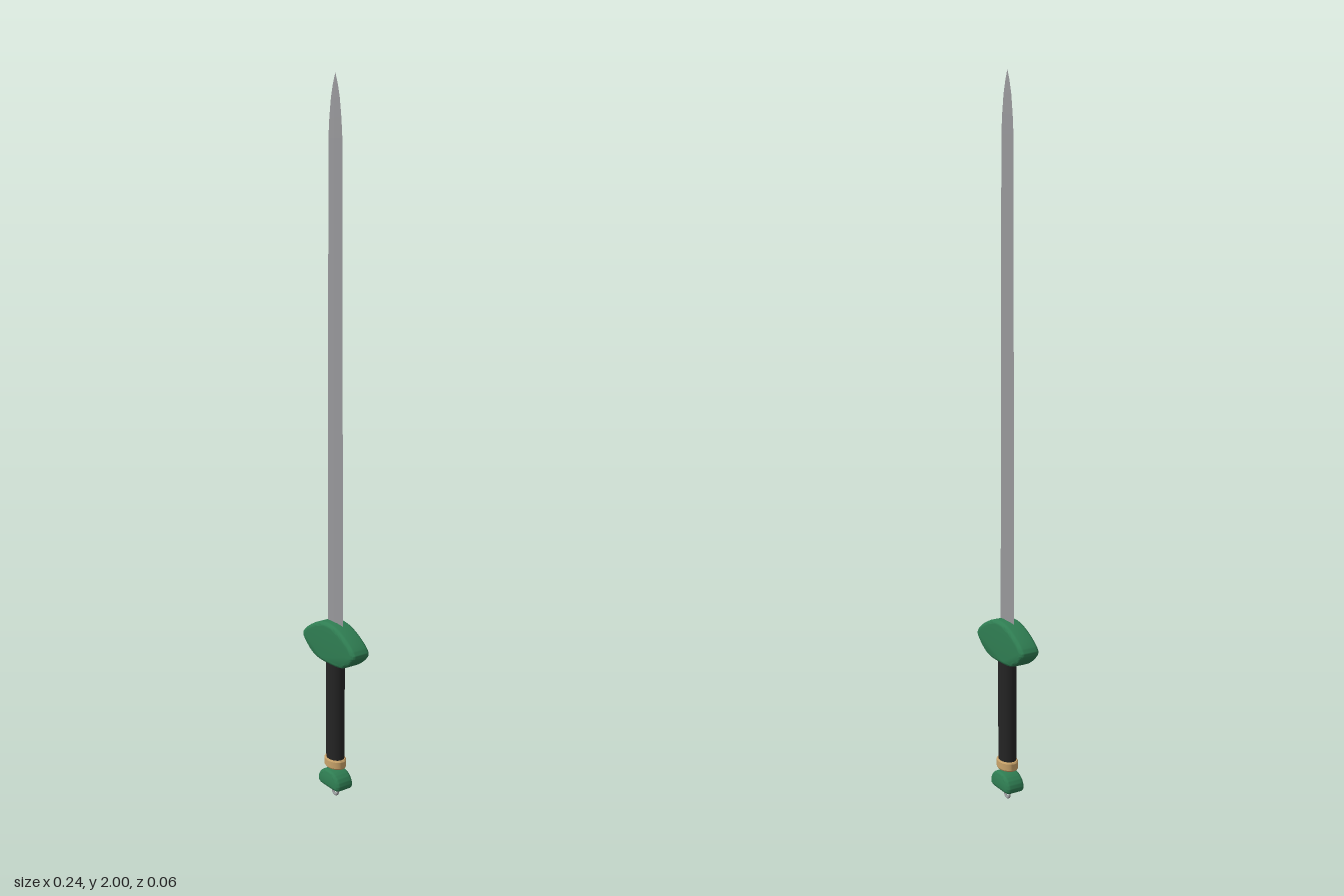
import * as THREE from 'three';
import { toCreasedNormals } from 'three/addons/utils/BufferGeometryUtils.js';

const material = (name, color, extra = {}) => {
  const m = new THREE.MeshStandardMaterial({ color, ...extra });
  m.name = name;
  return m;
};

// Rounded slab: a smooth outline in xy, extruded along z with soft edges
function slab(points, depth, bevel) {
  const shape = new THREE.Shape();
  const right = points.map(([x, y]) => new THREE.Vector2(x, y));
  const left = points.slice(1, -1).reverse().map(([x, y]) => new THREE.Vector2(-x, y));
  const outline = new THREE.CatmullRomCurve3(
    [...right, ...left].map((p) => new THREE.Vector3(p.x, p.y, 0)), true, 'centripetal');
  shape.setFromPoints(outline.getPoints(64).slice(0, -1).map((p) => new THREE.Vector2(p.x, p.y)));
  const geometry = new THREE.ExtrudeGeometry(shape, {
    depth: depth - 2 * bevel, bevelThickness: bevel, bevelSize: bevel,
    bevelOffset: -bevel, bevelSegments: 4,
  });
  geometry.translate(0, 0, -depth / 2 + bevel);
  return toCreasedNormals(geometry, 0.6);
}

// Diamond cross-sections [y, half width, half thickness] joined into a blade
function diamondBlade(sections) {
  const positions = [];
  const ring = ([y, w, t]) => [[w, y, 0], [0, y, t], [-w, y, 0], [0, y, -t]];
  for (let i = 0; i < sections.length - 1; i++) {
    const a = ring(sections[i]);
    const b = ring(sections[i + 1]);
    for (let k = 0; k < 4; k++) {
      const n = (k + 1) % 4;
      positions.push(...a[k], ...b[n], ...a[n], ...a[k], ...b[k], ...b[n]);
    }
  }
  // Swap corners so that faces point outward
  for (let i = 0; i < positions.length; i += 9) {
    for (let j = 0; j < 3; j++) {
      const keep = positions[i + 3 + j];
      positions[i + 3 + j] = positions[i + 6 + j];
      positions[i + 6 + j] = keep;
    }
  }
  const geometry = new THREE.BufferGeometry();
  geometry.setAttribute('position', new THREE.Float32BufferAttribute(positions, 3));
  geometry.computeVertexNormals();
  return geometry;
}

export function createModel() {
  const group = new THREE.Group();
  group.name = 'sword';

  const steel = material('steel', 0x98989b, { side: THREE.DoubleSide });
  const green = material('green enamel', 0x2f7d52);
  const black = material('black leather', 0x242424);
  const brass = material('brass', 0xc9a36a);

  const add = (name, geometry, mat) => {
    const mesh = new THREE.Mesh(geometry, mat);
    mesh.name = name;
    group.add(mesh);
    return mesh;
  };

  // Long tapering blade with a curved point
  add('blade', diamondBlade([
    [0.48, 0.036, 0.006], [1.84, 0.03, 0.005], [1.89, 0.026, 0.0045],
    [1.94, 0.019, 0.0035], [1.975, 0.01, 0.002], [2.0, 0.0005, 0.0003],
  ]), steel);

  // Leaf-shaped crossguard
  add('guard', slab([
    [0, 0.41], [0.05, 0.413], [0.08, 0.424], [0.117, 0.455], [0.121, 0.468],
    [0.112, 0.482], [0.075, 0.508], [0.035, 0.525], [0, 0.53],
  ], 0.06, 0.011), green);

  // Oval grip running down through the collar
  const grip = add('grip', new THREE.CylinderGeometry(0.031, 0.03, 0.325, 32), black);
  grip.scale.z = 0.78;
  grip.position.y = 0.2585;

  // Collar band with softened rims
  const collar = add('collar', toCreasedNormals(new THREE.LatheGeometry([
    [0.027, 0.094], [0.034, 0.094], [0.037, 0.098], [0.037, 0.117],
    [0.034, 0.121], [0.027, 0.121],
  ].map(([x, y]) => new THREE.Vector2(x, y)), 32), 0.6), brass);
  collar.scale.z = 0.74;

  // Domed pommel
  add('pommel', slab([
    [0, 0.031], [0.036, 0.032], [0.046, 0.037], [0.049, 0.051],
    [0.04, 0.069], [0.022, 0.081], [0, 0.084],
  ], 0.056, 0.01), green);

  // Small hanging ring under the pommel
  const ring = add('pommelRing', new THREE.TorusGeometry(0.012, 0.0035, 10, 28), steel);
  ring.position.y = 0.0175;
  ring.position.y = 0.0155;

  return group;
}
